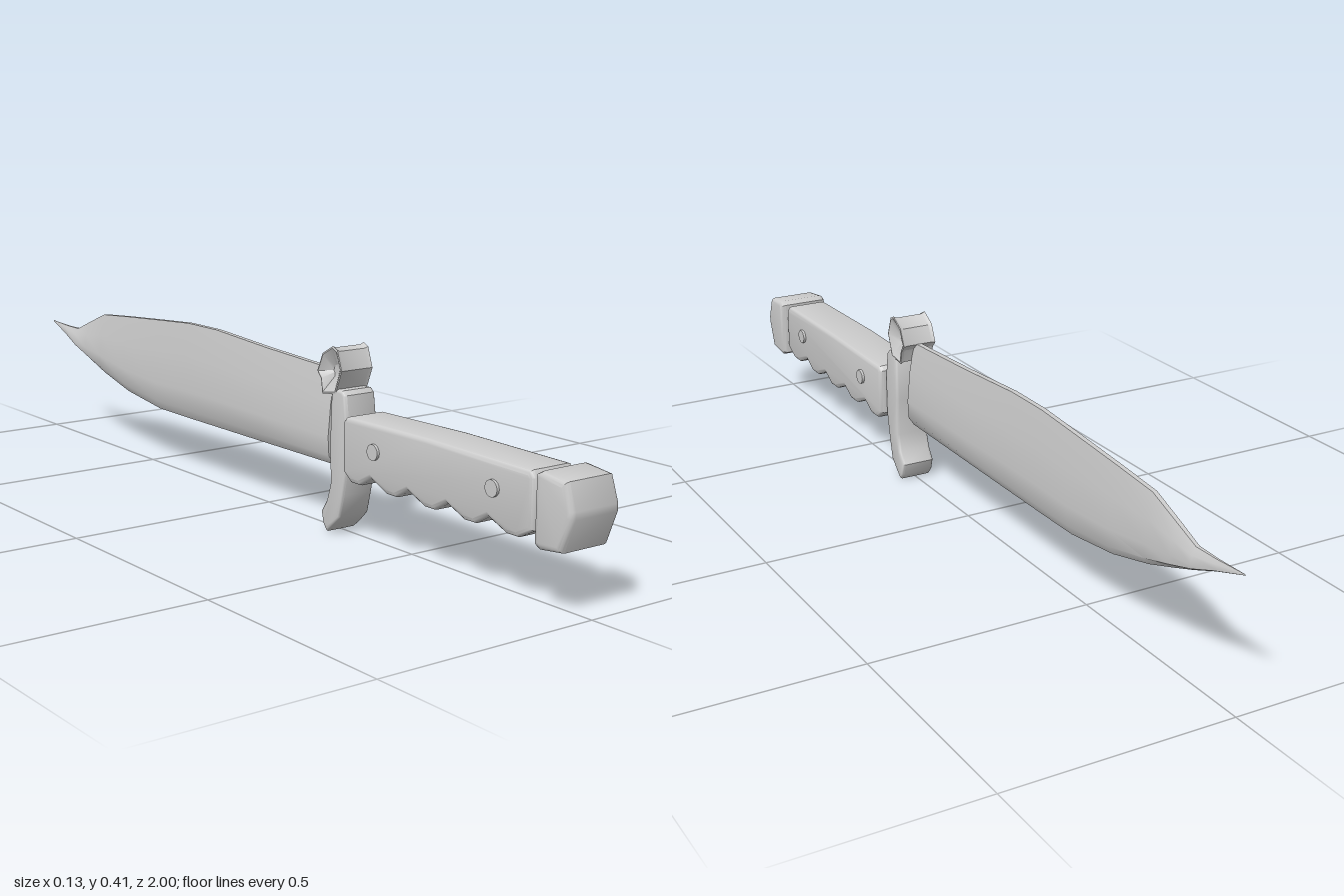
import * as THREE from 'three';
import { toCreasedNormals } from 'three/addons/utils/BufferGeometryUtils.js';

const steel = new THREE.MeshStandardMaterial({ color: 0xcccccc });
steel.name = 'light grey';

// Side outline of [z, y] points, extruded across x with rounded edges
function sideExtrude(points, halfWidth, bevel, crease = 0.7) {
  const shape = new THREE.Shape(points.map(([z, y]) => new THREE.Vector2(z, y)));
  const depth = 2 * (halfWidth - bevel);
  const geo = new THREE.ExtrudeGeometry(shape, {
    depth, bevelEnabled: true, bevelThickness: bevel, bevelSize: bevel,
    bevelOffset: -bevel, bevelSegments: 3,
  });
  geo.translate(0, 0, -depth / 2);
  geo.rotateY(-Math.PI / 2);
  return toCreasedNormals(geo, crease);
}

// Closed skin through rings of [x, y, z], counter-clockwise seen from the first ring's end
function loft(rings, crease) {
  const n = rings[0].length, last = (rings.length - 1) * n, index = [];
  for (let i = 0; i < rings.length - 1; i++) {
    for (let j = 0; j < n; j++) {
      const a = i * n + j, b = i * n + (j + 1) % n;
      index.push(a, a + n, b, b, a + n, b + n);
    }
  }
  for (let j = 1; j < n - 1; j++) {
    index.push(0, j, j + 1, last, last + j + 1, last + j);
  }
  const geo = new THREE.BufferGeometry();
  geo.setAttribute('position', new THREE.Float32BufferAttribute(rings.flat(2), 3));
  geo.setIndex(index);
  return toCreasedNormals(geo, crease);
}

export function createModel() {
  const model = new THREE.Group();
  const add = (name, geo) => {
    const mesh = new THREE.Mesh(geo, steel);
    mesh.name = name;
    model.add(mesh);
    return mesh;
  };

  // Blade stations: z, edge height, spine height, half thickness
  const stations = [
    [0.25, 0.14, 0.345, 0.025], [0, 0.14, 0.357, 0.025], [-0.2, 0.14, 0.37, 0.024],
    [-0.32, 0.14, 0.37, 0.023], [-0.45, 0.141, 0.361, 0.022], [-0.6, 0.16, 0.35, 0.021],
    [-0.72, 0.19, 0.34, 0.02], [-0.8, 0.217, 0.309, 0.019], [-0.86, 0.238, 0.285, 0.016],
    [-0.92, 0.261, 0.285, 0.009], [-1, 0.287, 0.289, 0.0005],
  ];
  // Half section: share of thickness, share of height
  const section = [[0.35, 0], [0.9, 0.1], [1, 0.3], [0.75, 0.65], [0.25, 1]];
  add('blade', loft(stations.map(([z, lo, hi, w]) => {
    const half = section.map(([s, t]) => [s * w, lo + t * (hi - lo), z]);
    return [...half, ...half.map(([x, y]) => [-x, y, z]).reverse()];
  }), 0.6));

  // Grip with finger waves along the underside
  const grip = [[0.335, 0.255], [0.345, 0.265], [0.6, 0.268], [0.885, 0.263], [0.895, 0.25], [0.895, 0.15]];
  for (let i = 0; i < 5; i++) {
    const z = 0.83 - i * 0.116;
    grip.push([z + 0.025, 0.129], [z - 0.005, 0.129], [z - 0.055, 0.15]);
  }
  grip.splice(-1, 1, [0.335, 0.148]);
  add('grip', sideExtrude(grip, 0.054, 0.01));

  // Rivets on both sides of the grip
  for (const z of [0.44, 0.79]) {
    const rivet = new THREE.CylinderGeometry(0.017, 0.017, 0.12, 16);
    rivet.rotateZ(Math.PI / 2);
    add('rivet', rivet).position.set(0, 0.21, z);
  }

  // Pommel and the neck that carries it
  add('pommel', sideExtrude([
    [0.905, 0.13], [0.92, 0.122], [0.975, 0.128], [1, 0.195],
    [1, 0.21], [0.982, 0.262], [0.92, 0.27], [0.905, 0.262],
  ], 0.063, 0.012));
  const neck = add('neck', new THREE.BoxGeometry(0.08, 0.1, 0.03));
  neck.position.set(0, 0.2, 0.9);

  // Cross guard with its lower end swept forward along the blade
  add('guard', sideExtrude([
    [0.325, 0.305], [0.315, 0.314], [0.287, 0.314], [0.278, 0.3], [0.274, 0.2],
    [0.277, 0.11], [0.265, 0.07], [0.246, 0.042], [0.253, 0.015], [0.265, 0],
    [0.285, 0.017], [0.308, 0.04], [0.32, 0.09], [0.332, 0.15], [0.334, 0.24],
  ], 0.041, 0.007));

  // Upper guard knob, waisted in the middle and dished at both ends
  const knob = [
    [0.315, 0.355], [0.295, 0.305], [0.25, 0.298], [0.245, 0.33],
    [0.232, 0.345], [0.25, 0.385], [0.285, 0.405], [0.3, 0.398],
  ].reverse();
  const slices = [
    [0.022, 0.25], [0.042, 0.92], [0.041, 1], [0.033, 0.93],
    [-0.033, 0.93], [-0.041, 1], [-0.042, 0.92], [-0.022, 0.25],
  ];
  add('guardKnob', loft(slices.map(([x, s]) =>
    knob.map(([z, y]) => [x, 0.35 + (y - 0.35) * s, 0.275 + (z - 0.275) * s]).reverse()), 0.6));

  return model;
}
